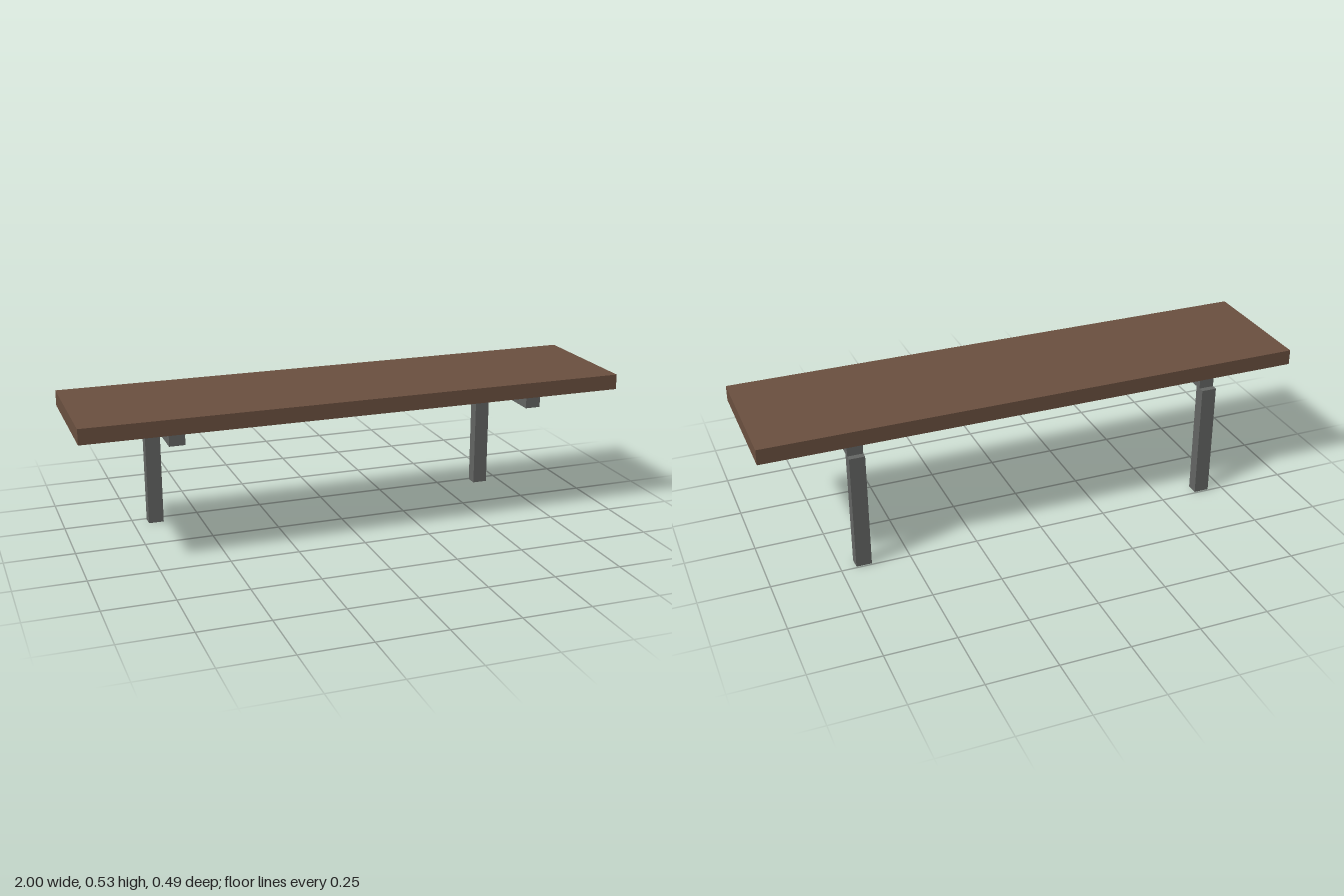
import * as THREE from 'three';

const wood = new THREE.MeshStandardMaterial({ color: 0x6b5040, flatShading: true });
const metal = new THREE.MeshStandardMaterial({ color: 0x646664, flatShading: true });

// Box given by its centre in x, and its ranges in y and z
function box(name, material, width, x, [y0, y1], [z0, z1]) {
  const mesh = new THREE.Mesh(new THREE.BoxGeometry(width, y1 - y0, z1 - z0), material);
  mesh.name = name;
  mesh.position.set(x, (y0 + y1) / 2, (z0 + z1) / 2);
  return mesh;
}

export function createModel() {
  const bench = new THREE.Group();
  bench.name = 'bench';

  // Wooden seat plank
  bench.add(box('seat', wood, 2, 0, [0.478, 0.534], [-0.244, 0.244]));

  // Rear leg and cantilevered seat support on each side
  for (const [side, x] of [['left', 0.667], ['right', -0.667]]) {
    const frame = new THREE.Group();
    frame.name = `${side}Frame`;
    frame.add(
      box(`${side}SeatSupport`, metal, 0.056, x, [0.433, 0.478], [-0.222, 0.222]),
      box(`${side}Leg`, metal, 0.056, x, [0, 0.433], [-0.244, -0.2])
    );
    bench.add(frame);
  }
  return bench;
}
